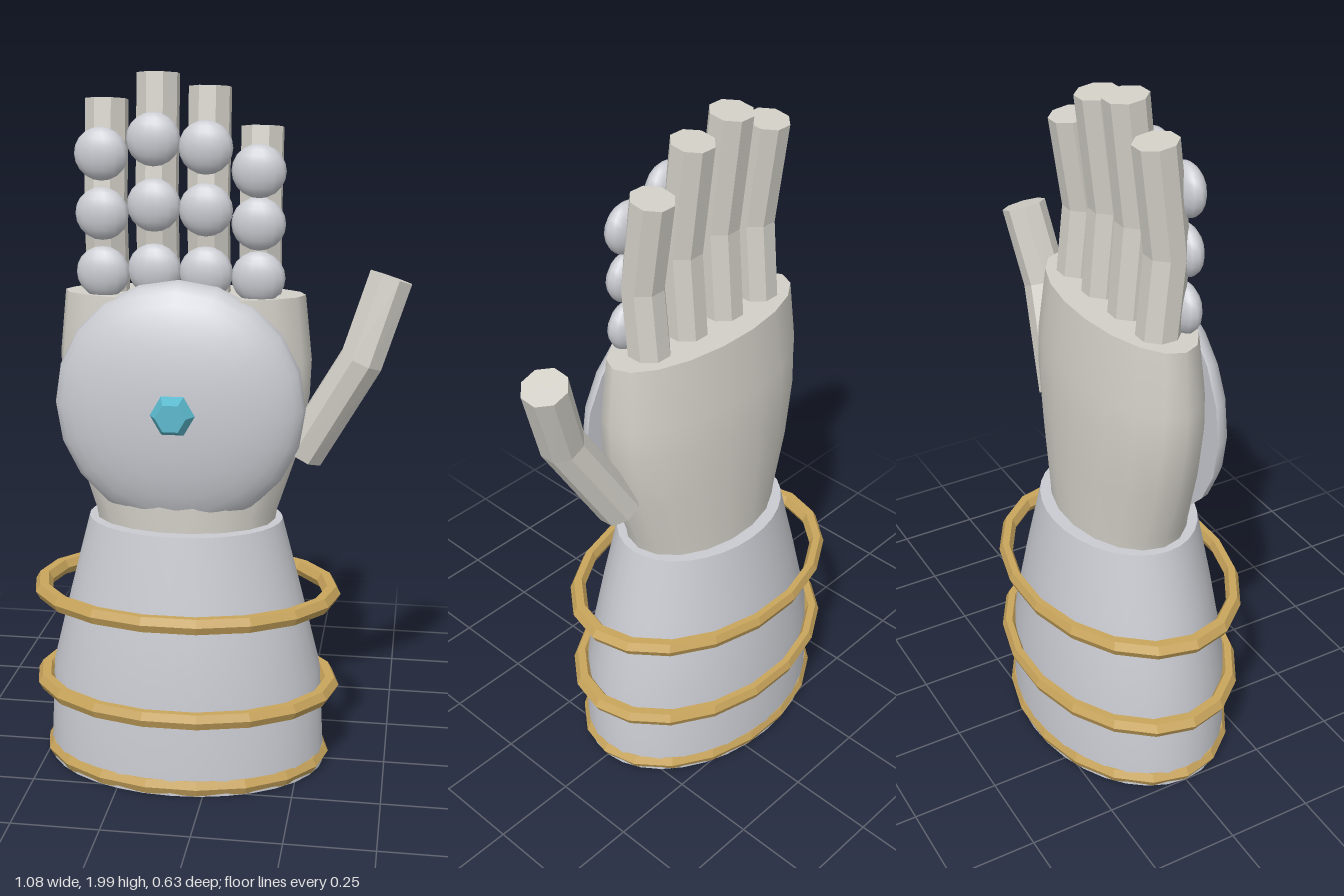
import * as THREE from 'three';
import { toCreasedNormals } from 'three/addons/utils/BufferGeometryUtils.js';

const CX = -0.09; // axis of the forearm and palm
const mat = (color, flatShading = false) => new THREE.MeshStandardMaterial({ color, flatShading });

export function createModel() {
  const model = new THREE.Group();
  const armor = mat(0xc9cbd1);
  const glove = mat(0xd2cfc7);
  const gloveFlat = mat(0xd2cfc7, true);
  const gold = mat(0xc9a55c, true);
  const gemBlue = mat(0x5bb8cc, true);

  const add = (name, geometry, material, x = 0, y = 0, z = 0) => {
    const mesh = new THREE.Mesh(geometry, material);
    mesh.name = name;
    mesh.position.set(x, y, z);
    model.add(mesh);
    return mesh;
  };

  // Closed elliptical loft through sections [y, half width, half depth]
  const loft = (sections, sides) => {
    const first = sections[0], last = sections[sections.length - 1];
    const profile = [[first[0], 0, 0], ...sections, [last[0], 0, 0]];
    const geo = new THREE.LatheGeometry(profile.map(([y, r]) => new THREE.Vector2(r, y)), sides);
    geo.rotateY(Math.PI / 2);
    const pos = geo.attributes.position;
    for (let i = 0; i < pos.count; i++) {
      const [, rx, rz] = profile[i % profile.length];
      if (rx > 0) pos.setZ(i, pos.getZ(i) * rz / rx);
    }
    return toCreasedNormals(geo, Math.PI / 3);
  };

  // Eight-sided capped rod with one mitred bend, through three points
  const bentRod = (points, radius) => {
    const [a, b, c] = points.map(p => new THREE.Vector3(...p));
    const d1 = b.clone().sub(a).normalize();
    const d2 = c.clone().sub(b).normalize();
    const dirs = [d1, d1.clone().add(d2).normalize(), d2];
    const up = new THREE.Vector3(0, 1, 0);
    const frames = dirs.map(d => new THREE.Quaternion().setFromUnitVectors(up, d));
    const geo = new THREE.CylinderGeometry(radius, radius, 1, 8, 2);
    geo.rotateY(Math.PI / 8);
    const pos = geo.attributes.position, v = new THREE.Vector3();
    for (let i = 0; i < pos.count; i++) {
      const row = Math.round((pos.getY(i) + 0.5) * 2);
      v.set(pos.getX(i), 0, pos.getZ(i)).applyQuaternion(frames[row]).add([a, b, c][row]);
      pos.setXYZ(i, v.x, v.y, v.z);
    }
    geo.computeVertexNormals();
    return geo;
  };

  // Forearm cuff
  add('cuff', loft([
    [0.005, 0.41, 0.29], [0.3, 0.395, 0.283], [0.54, 0.335, 0.245], [0.75, 0.28, 0.206],
  ], 32), armor, CX);

  // Gold bands around the cuff
  for (const [y, radius] of [[0.03, 0.398], [0.245, 0.425], [0.53, 0.425]]) {
    const geo = new THREE.TorusGeometry(radius, 0.026, 6, 18);
    geo.rotateX(Math.PI / 2);
    geo.scale(1, 1, 0.71);
    add('cuffBand', geo, gold, CX, y);
  }

  // Palm
  add('palm', loft([
    [0.7, 0.25, 0.17], [0.78, 0.264, 0.171], [0.95, 0.32, 0.172],
    [1.12, 0.352, 0.17], [1.22, 0.356, 0.162], [1.4, 0.337, 0.135],
  ], 18), glove, CX);

  // Domed hand plate, closed at its back
  const dome = new THREE.SphereGeometry(0.35, 20, 8, 0, Math.PI * 2, 0, Math.PI / 2);
  dome.rotateX(Math.PI / 2);
  dome.scale(1, 1, 0.118 / 0.35);
  add('handPlate', dome, armor, CX, 1.1, 0.1);
  const back = new THREE.CircleGeometry(0.35, 20);
  back.rotateY(Math.PI);
  add('handPlateBack', back, armor, CX, 1.1, 0.1);

  // Faceted gem
  const gem = new THREE.CylinderGeometry(0.042, 0.07, 0.05, 6);
  gem.rotateY(Math.PI / 6);
  gem.rotateX(Math.PI / 2);
  add('gem', gem, gemBlue, CX, 1.1, 0.226);

  // Fingers, each with three knuckle plates: x, tip height, knuckle heights
  const fingers = [
    [-0.306, 1.92, [1.46, 1.62, 1.78]],
    [-0.163, 1.989, [1.47, 1.645, 1.82]],
    [-0.021, 1.954, [1.465, 1.635, 1.80]],
    [0.122, 1.85, [1.455, 1.60, 1.74]],
  ];
  const knuckle = new THREE.SphereGeometry(0.074, 14, 10);
  knuckle.scale(1, 0.97, 0.53);
  for (const [x, tip, knuckles] of fingers) {
    const bend = 1.38 + (tip - 1.38) * 0.45;
    add('finger', bentRod([[x, 1.36, -0.012], [x, bend, 0.012], [x, tip, -0.027]], 0.06), gloveFlat);
    for (const y of knuckles) add('knucklePlate', knuckle, armor, x, y, 0.062);
  }

  // Thumb
  add('thumb', bentRod([[0.245, 0.95, -0.005], [0.405, 1.23, 0.033], [0.478, 1.455, 0.004]], 0.064), gloveFlat);

  return model;
}
